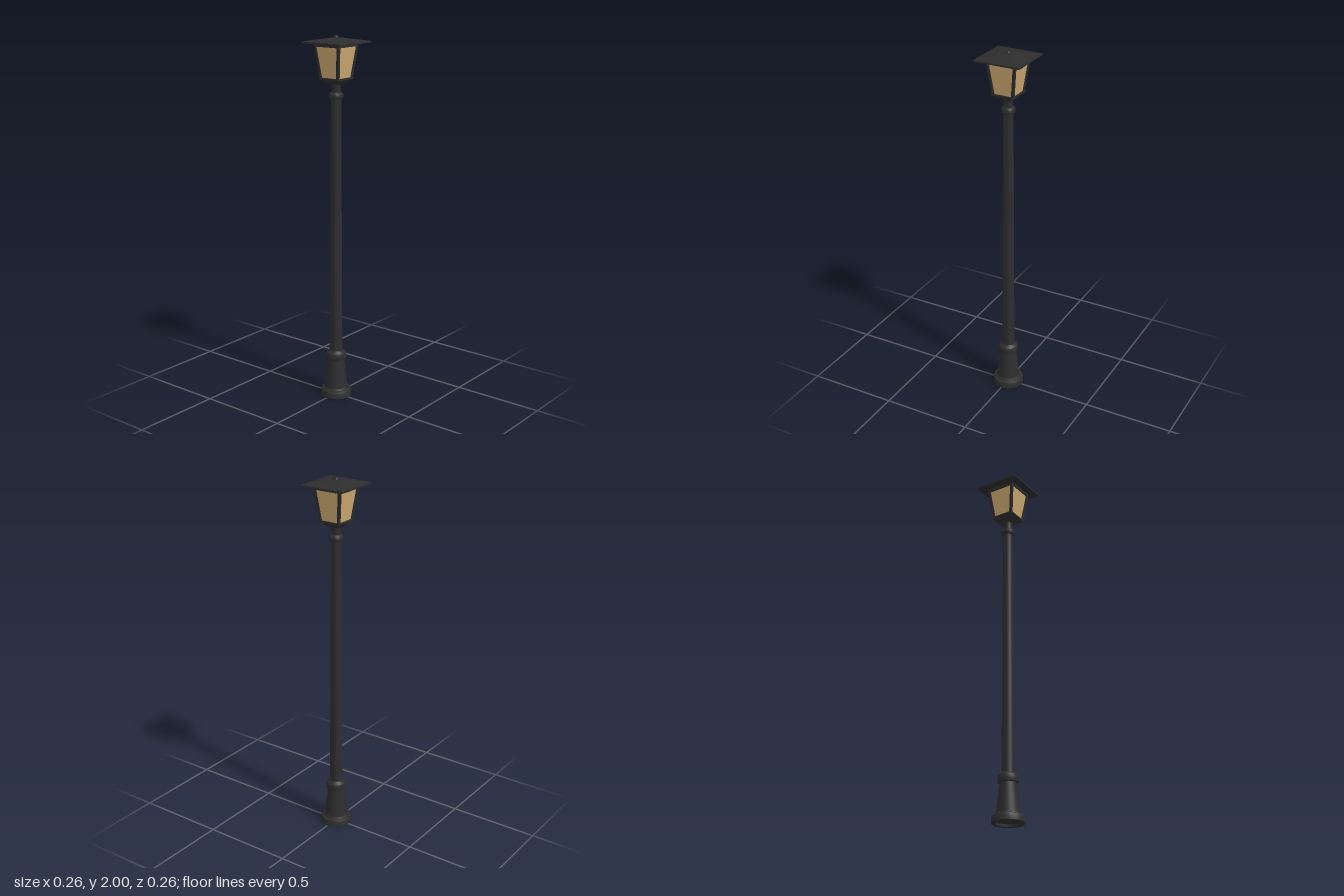
import * as THREE from 'three';
import { toCreasedNormals } from 'three/addons/utils/BufferGeometryUtils.js';

const iron = new THREE.MeshStandardMaterial({ color: 0x2d2d2e });
iron.name = 'dark iron';
const glass = new THREE.MeshStandardMaterial({ color: 0xcda970 });
glass.name = 'warm glass';

function add(parent, name, geometry, material = iron) {
  const mesh = new THREE.Mesh(geometry, material);
  mesh.name = name;
  parent.add(mesh);
  return mesh;
}

// Round part from [radius, height] pairs, listed bottom to top
function turned(points) {
  const profile = points.map(([r, y]) => new THREE.Vector2(r, y));
  return toCreasedNormals(new THREE.LatheGeometry(profile, 24), 0.6);
}

// Square frustum given half widths at heights y0 and y1
function square(half0, half1, y0, y1) {
  const g = new THREE.CylinderGeometry(half1 * Math.SQRT2, half0 * Math.SQRT2, y1 - y0, 4);
  g.rotateY(Math.PI / 4).translate(0, (y0 + y1) / 2, 0);
  return toCreasedNormals(g, 0.1);
}

// Upright bar whose top leans away from its foot
function leaningBar(width, depth, foot, head, y0, y1) {
  const g = new THREE.BoxGeometry(width, y1 - y0, depth);
  const p = g.attributes.position;
  for (let i = 0; i < p.count; i++) {
    const c = p.getY(i) > 0 ? head : foot;
    p.setX(i, p.getX(i) + c[0]);
    p.setZ(i, p.getZ(i) + c[1]);
  }
  g.translate(0, (y0 + y1) / 2, 0);
  return toCreasedNormals(g, 0.1);
}

export function createModel() {
  const model = new THREE.Group();
  model.name = 'lampPost';

  // Foot with a shallow hollow underneath, and its tapered pedestal
  add(model, 'foot', turned([
    [0, 0.015], [0.064, 0.015], [0.066, 0], [0.086, 0], [0.086, 0.03],
    [0.082, 0.037], [0.07, 0.042], [0.066, 0.05], [0.06, 0.052],
  ]));
  add(model, 'pedestal', turned([[0.063, 0.045], [0.057, 0.1], [0.046, 0.212]]));
  add(model, 'lowerCollar', turned([
    [0.044, 0.208], [0.053, 0.212], [0.055, 0.22], [0.055, 0.24],
    [0.052, 0.25], [0.042, 0.258], [0.037, 0.265], [0.033, 0.265],
  ]));

  // Slender tapering pole
  add(model, 'pole', turned([[0.035, 0.25], [0.027, 1.69]]));
  add(model, 'upperCollar', turned([
    [0.025, 1.668], [0.035, 1.67], [0.038, 1.677], [0.038, 1.691],
    [0.034, 1.699], [0.026, 1.704], [0.02, 1.706],
  ]));
  add(model, 'neck', turned([[0.025, 1.695], [0.024, 1.735], [0.027, 1.755]]));

  const lantern = new THREE.Group();
  lantern.name = 'lantern';
  model.add(lantern);

  // Lantern tray, rim and glass body
  add(lantern, 'tray', square(0.032, 0.06, 1.746, 1.77));
  add(lantern, 'trayRim', square(0.064, 0.065, 1.77, 1.78));
  add(lantern, 'glassPanes', square(0.056, 0.078, 1.78, 1.95), glass);
  add(lantern, 'topRail', square(0.082, 0.084, 1.941, 1.963));

  // Four leaning corner posts
  for (const sx of [-1, 1]) for (const sz of [-1, 1]) {
    add(lantern, 'cornerPost', leaningBar(
      0.014, 0.014, [sx * 0.055, sz * 0.055], [sx * 0.077, sz * 0.077], 1.775, 1.955));
  }

  // Shallow pyramid roof with a ball finial
  add(lantern, 'roofEave', square(0.128, 0.128, 1.958, 1.967));
  add(lantern, 'roof', square(0.128, 0.004, 1.967, 1.988));
  const finial = add(lantern, 'finial', new THREE.SphereGeometry(0.014, 16, 12));
  finial.position.y = 1.986;

  return model;
}
